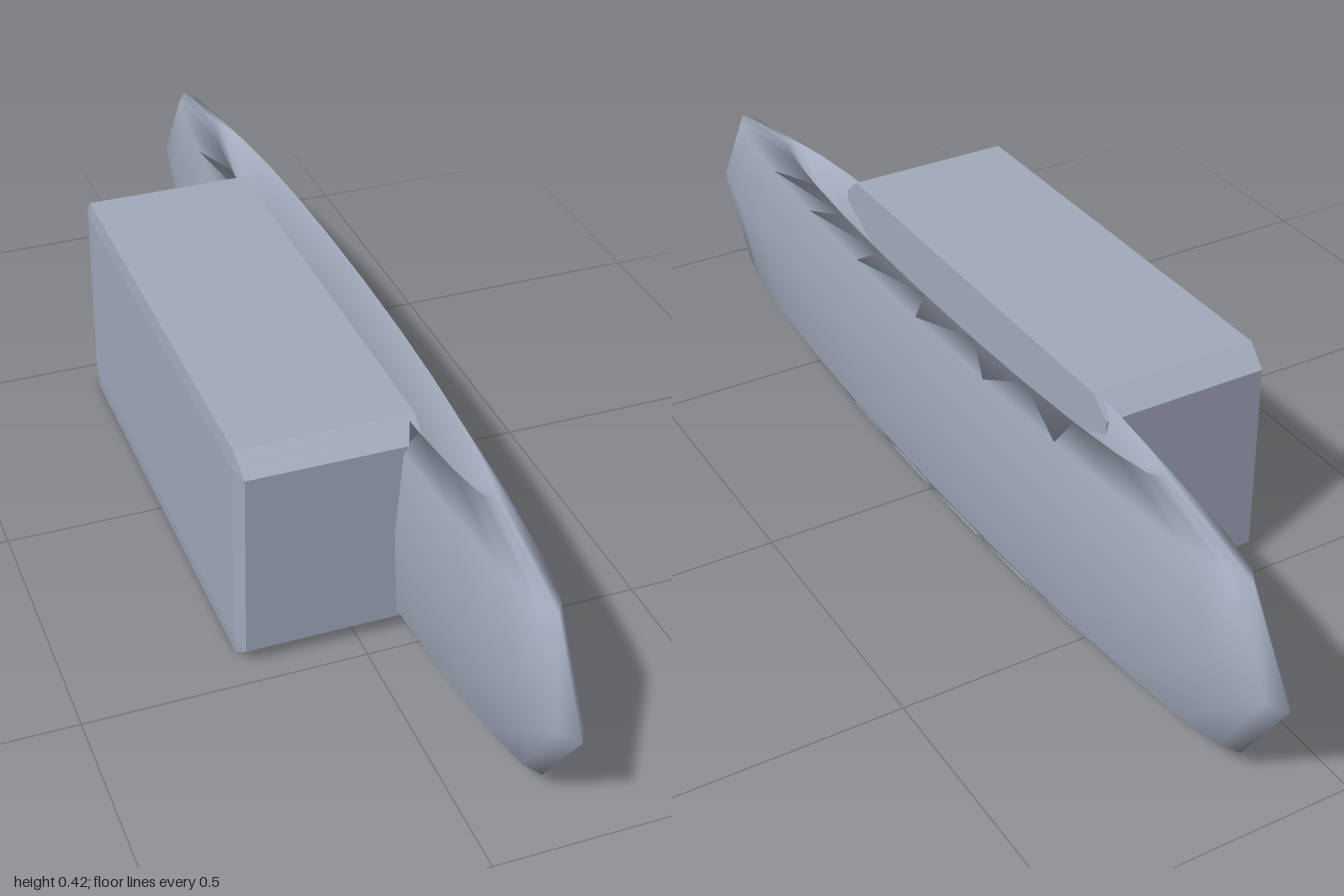
import * as THREE from 'three';

const MID_Y = 0.211;

// Block with chamfered long edges and a very slightly domed left face
function blockGeometry() {
  const geo = new THREE.BoxGeometry(1, 1, 1, 1, 3, 3);
  const p = geo.attributes.position;
  for (let i = 0; i < p.count; i++) {
    const left = p.getX(i) < 0;
    const y = p.getY(i), z = p.getZ(i);
    const edgeY = Math.abs(y) > 0.4, edgeZ = Math.abs(z) > 0.4;
    let h = edgeY ? 0.211 : 0.178;
    let d = edgeZ ? 0.46 : 0.42;
    let x = left ? (edgeZ ? -0.203 : edgeY ? -0.208 : -0.211) : 0.102;
    if (edgeY && edgeZ) {
      // corners fall on the middle of the chamfer
      h = 0.1945;
      d = 0.44;
      if (left) x = -0.2055;
    }
    p.setXYZ(i, x, Math.sign(y) * h, Math.sign(z) * d);
  }
  const flat = geo.toNonIndexed();
  flat.computeVertexNormals();
  return flat;
}

// Seven-sided ring, squeezed into a long narrow oval
function ringGeometry() {
  const geo = new THREE.TorusGeometry(0.72, 0.28, 7, 24);
  geo.rotateX(Math.PI / 2);
  geo.scale(0.08, 0.209 / 0.28, 1);
  return geo;
}

export function createModel() {
  const group = new THREE.Group();
  const grey = new THREE.MeshStandardMaterial({ color: 0xa3abbd });
  grey.name = 'blue grey';

  const block = new THREE.Mesh(blockGeometry(), grey);
  block.name = 'block';
  block.position.y = MID_Y;

  const ring = new THREE.Mesh(ringGeometry(), grey);
  ring.name = 'ovalRing';
  ring.position.set(0.129, MID_Y, 0);

  group.add(block, ring);
  return group;
}
